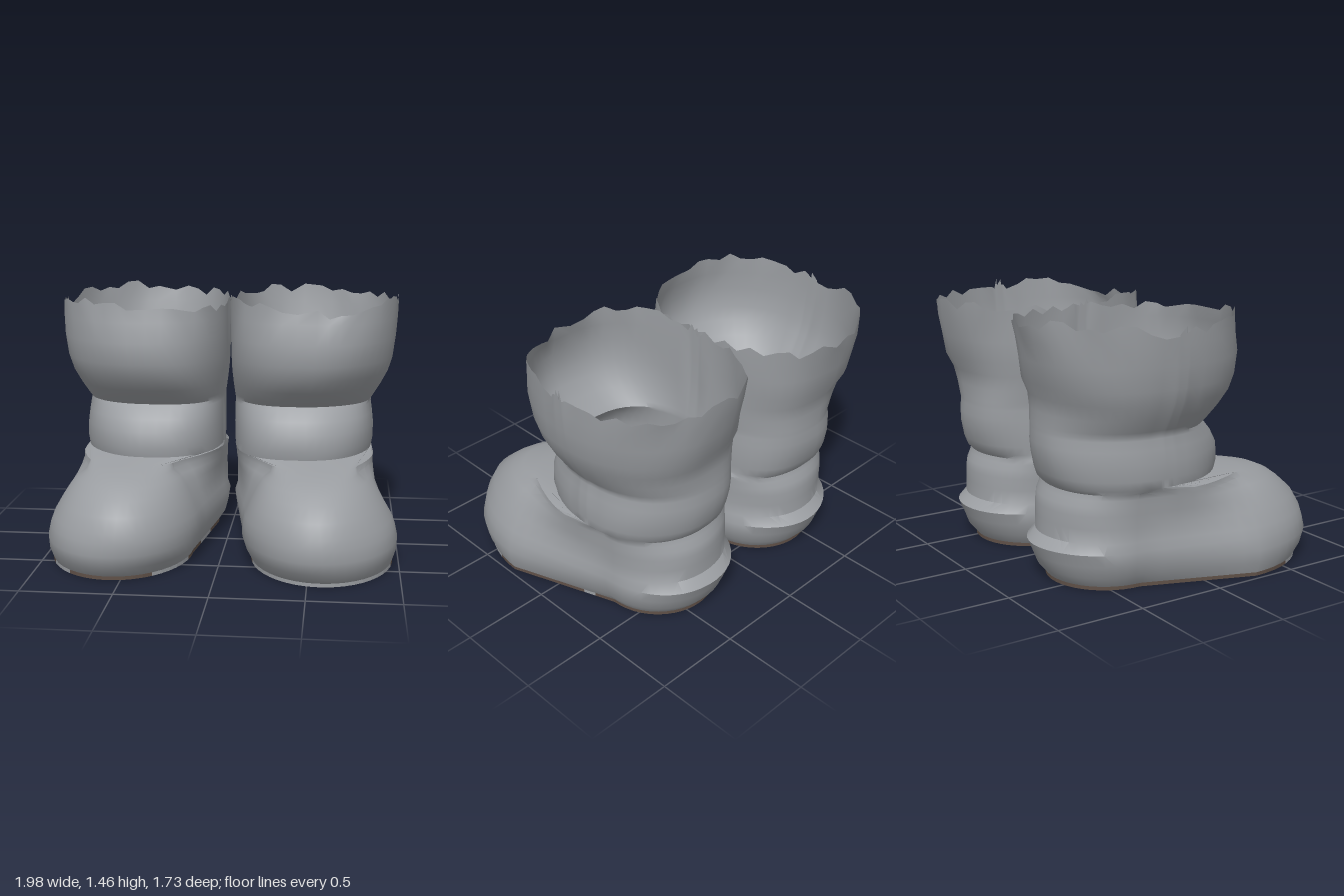
import * as THREE from 'three';
import { toCreasedNormals } from 'three/addons/utils/BufferGeometryUtils.js';

const felt = new THREE.MeshStandardMaterial({ color: 0x9b9ea2, side: THREE.DoubleSide });
felt.name = 'grey felt';
const leather = new THREE.MeshStandardMaterial({ color: 0x5f5047, side: THREE.DoubleSide });
leather.name = 'brown sole';

const HALF = 24; // points round each end of a ring
const FLANK = 6; // points along each flank, between the ends

// Foot sections: y, heel half width, back z, toe half width, front z
const FOOT = [
  [0.02, 0.33, -0.68, 0.40, 0.79],
  [0.08, 0.37, -0.73, 0.425, 0.84],
  [0.15, 0.39, -0.76, 0.44, 0.87],
  [0.22, 0.40, -0.79, 0.43, 0.86],
  [0.27, 0.385, -0.735, 0.415, 0.85],
  [0.35, 0.385, -0.73, 0.375, 0.81],
  [0.42, 0.385, -0.73, 0.335, 0.73],
  [0.47, 0.39, -0.72, 0.295, 0.66],
  [0.505, 0.39, -0.70, 0.25, 0.58],
  [0.535, 0.395, -0.69, 0.24, 0.42],
];

// Shaft sections: y, half width, back z, front z
const SHAFT = [
  [0.56, 0.405, -0.71, 0.29],
  [0.61, 0.41, -0.73, 0.30],
  [0.70, 0.41, -0.75, 0.29],
  [0.77, 0.405, -0.755, 0.25],
  [0.825, 0.40, -0.75, 0.20],
  [0.845, 0.40, -0.75, 0.18],
  [0.87, 0.41, -0.75, 0.21],
  [0.94, 0.435, -0.75, 0.28],
  [1.02, 0.46, -0.76, 0.34],
  [1.10, 0.475, -0.80, 0.37],
  [1.22, 0.485, -0.82, 0.38],
  [1.33, 0.49, -0.845, 0.35],
  [1.41, 0.492, -0.86, 0.335],
];

// Each section becomes a height with a heel end and a toe end;
// a low inner power flattens the side where the two shafts touch
const SECTIONS = [
  ...FOOT.map(([y, heelWidth, back, toeWidth, front]) => ({
    y,
    inner: 1,
    heel: { x: 0.415, width: heelWidth, z: -0.34, tip: back },
    toe: { x: 0.57 - 0.1 * y, width: toeWidth, z: 0.28, tip: front },
  })),
  ...SHAFT.map(([y, width, back, front]) => {
    const x = 0.19 + 0.615 * width;
    return {
      y,
      inner: 0.7,
      heel: { x, width, z: -0.28, tip: back },
      toe: { x, width, z: -0.18, tip: front },
    };
  }),
];

// Repeatable noise from 0 to 1
function noise(n) {
  const s = Math.sin(n * 127.1) * 43758.5453;
  return s - Math.floor(s);
}

// One closed ring: round the toe, along the inner flank, round the heel, back along the outer flank
function ring({ y, inner, heel, toe }, side) {
  const points = [];
  const bulge = 0.45 * Math.max(0, heel.width - toe.width);
  [[toe, heel], [heel, toe]].forEach(([end, next], half) => {
    const sign = half ? 1 : -1; // flank that follows this end
    for (let i = 0; i < HALF; i++) {
      const a = Math.PI * (half + i / (HALF - 1));
      // soft dents in the felt
      const dent = y > 0.1 ? 1 - 0.006 * (1 + Math.sin(5 * a + 9 * y + side)) : 1;
      const c = Math.cos(a);
      const across = c < 0 ? -Math.pow(-c, inner) : c;
      points.push(new THREE.Vector3(
        side * (end.x + end.width * dent * across),
        y,
        end.z + Math.abs(end.tip - end.z) * dent * Math.sin(a)));
    }
    for (let i = 1; i <= FLANK; i++) {
      const t = i / (FLANK + 1);
      const x = THREE.MathUtils.lerp(end.x + sign * end.width, next.x + sign * next.width, t);
      points.push(new THREE.Vector3(
        side * (x + sign * bulge * Math.sin(Math.PI * t)),
        y,
        THREE.MathUtils.lerp(end.z, next.z, t)));
    }
  });
  return points;
}

// Skin the rings from the sole to the ragged rim
function upper(side) {
  const count = 2 * (HALF + FLANK);
  const positions = [];
  const index = [];
  SECTIONS.forEach((section, r) => {
    ring(section, side).forEach((p, i) => {
      if (r === SECTIONS.length - 1) {
        const k = i + (side > 0 ? 0 : 100);
        p.y += 0.07 * noise(k) - 0.03 + 0.02 * Math.sin(i * 0.35 + side);
        p.z += 0.02 * (noise(k + 300) - 0.5);
      }
      positions.push(p.x, p.y, p.z);
    });
  });
  for (let r = 0; r < SECTIONS.length - 1; r++) {
    for (let i = 0; i < count; i++) {
      const a = r * count + i;
      const b = r * count + (i + 1) % count;
      const quad = [a, a + count, b, b, a + count, b + count];
      if (side < 0) quad.reverse();
      index.push(...quad);
    }
  }
  const geometry = new THREE.BufferGeometry();
  geometry.setAttribute('position', new THREE.Float32BufferAttribute(positions, 3));
  geometry.setIndex(index);
  return toCreasedNormals(geometry, 0.7);
}

// Keep the part of an outline in front of (sign 1) or behind (sign -1) the line z = z0 + slope * |x|
function clip(points, [z0, slope], sign) {
  const out = [];
  const distance = (p) => sign * (p.z - z0 - slope * Math.abs(p.x));
  points.forEach((p, i) => {
    const q = points[(i + 1) % points.length];
    const dp = distance(p);
    const dq = distance(q);
    if (dp >= 0) out.push(p);
    if (dp * dq < 0) out.push(p.clone().lerp(q, dp / (dp - dq)));
  });
  return out;
}

// A slab of the sole between two lines
function solePiece(side, from, to) {
  const outline = clip(clip(ring(SECTIONS[0], side), from, 1), to, -1);
  const shape = new THREE.Shape(outline.map((p) => new THREE.Vector2(p.x, -p.z)));
  const geometry = new THREE.ExtrudeGeometry(shape, { depth: 0.022, bevelEnabled: false });
  return geometry.rotateX(-Math.PI / 2);
}

function addMesh(parent, name, geometry, material) {
  const mesh = new THREE.Mesh(geometry, material);
  mesh.name = name;
  parent.add(mesh);
}

// Lines across the sole, as [z at the middle, slope]; the two soles are worn differently
const SOLE_LINES = {
  left: [[-1, 0], [-0.09, -0.17], [-0.01, -0.18], [0.42, 0], [1, 0]],
  right: [[-1, 0], [-0.12, -0.03], [0.16, -0.38], [0.37, 0.18], [0.7, 0], [1, 0]],
};
const SOLE_NAMES = ['heelSole', 'archSole', 'ballSole', 'toeSole', 'toeTipSole'];

function boot(name, side) {
  const group = new THREE.Group();
  group.name = `${name}Boot`;
  addMesh(group, 'upper', upper(side), felt);
  const lines = SOLE_LINES[name];
  for (let i = 0; i < lines.length - 1; i++) {
    const piece = solePiece(side, lines[i], lines[i + 1]);
    addMesh(group, SOLE_NAMES[i], piece, i % 2 ? felt : leather);
  }
  return group;
}

export function createModel() {
  const model = new THREE.Group();
  model.name = 'pairOfBoots';
  model.add(boot('left', 1), boot('right', -1));
  return model;
}
